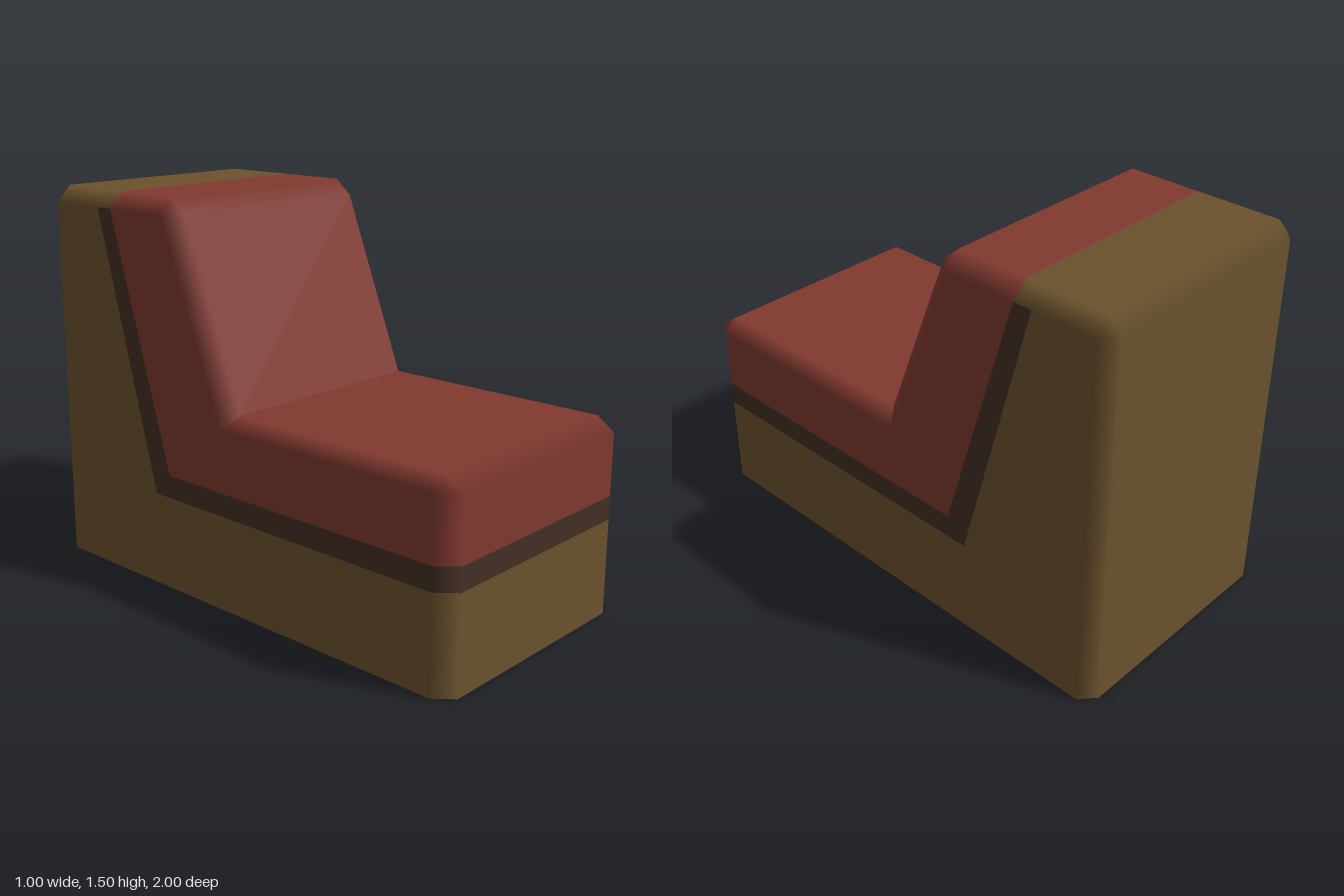
import * as THREE from 'three';

const material = (name, color) => {
  const m = new THREE.MeshStandardMaterial({ color });
  m.name = name;
  return m;
};

// Collects triangles with smooth normals, turned to face outward
class Surface {
  constructor() { this.pos = []; this.nor = []; }
  tri(p, n) {
    const [a, b, c] = p;
    const face = b.clone().sub(a).cross(c.clone().sub(a));
    if (face.length() < 1e-7) return;
    const sum = n[0].clone().add(n[1]).add(n[2]);
    for (const i of face.dot(sum) < 0 ? [0, 2, 1] : [0, 1, 2]) {
      this.pos.push(...p[i].toArray());
      this.nor.push(...n[i].toArray());
    }
  }
  polygon(points2, place, normal) {
    const outline = points2.map(([u, v]) => new THREE.Vector2(u, v));
    for (const t of THREE.ShapeUtils.triangulateShape(outline, []))
      this.tri(t.map((i) => place(...points2[i])), [normal, normal, normal]);
  }
  mesh(name, mat) {
    const g = new THREE.BufferGeometry();
    g.setAttribute('position', new THREE.Float32BufferAttribute(this.pos, 3));
    g.setAttribute('normal', new THREE.Float32BufferAttribute(this.nor, 3));
    const m = new THREE.Mesh(g, mat);
    m.name = name;
    return m;
  }
}

const V = (x, y, z) => new THREE.Vector3(x, y, z);
const INNER = 0.44, OUTER = 0.5; // half widths before and after the side bevel

export function createModel() {
  const cushion = new Surface(), trim = new Surface(), base = new Surface();
  const front = [1, 0], up = [0, 1], slope = [0.931, 0.364], back = [-1, 0];

  // Profile from front foot over the seat to back foot:
  // [z, y] of the centre, [z, y] of the side panel, [z, y] of the normal, part of the next strip
  const profile = [
    [[1, 0], [0.93, 0], front, base],
    [[1, 0.37], [0.93, 0.37], front, trim],
    [[1, 0.46], [0.93, 0.46], front, cushion],
    [[1, 0.7], [0.93, 0.7], front, cushion],
    [[0.93, 0.75], [0.93, 0.7], up, cushion],
    [[0, 0.75], [-0.045, 0.7], up, cushion],
    [[0, 0.75], [-0.045, 0.7], slope, cushion],
    [[-0.27, 1.44], [-0.335, 1.44], slope, cushion],
    [[-0.34, 1.5], [-0.335, 1.44], up, cushion],
    [[-0.625, 1.5], [-0.625, 1.44], up, base],
    [[-0.95, 1.5], [-0.95, 1.44], up, base],
    [[-1, 1.44], [-0.95, 1.44], back, base],
    [[-1, 0], [-0.95, 0], back, base],
  ];

  // Four columns across each profile point: side, bevel, bevel, side
  const columns = ([c, s, n]) => [-OUTER, -INNER, INNER, OUTER].map((x) => {
    const side = Math.abs(x) === OUTER;
    const [z, y] = side ? s : c;
    return { p: V(x, y, z), n: side ? V(Math.sign(x), 0, 0) : V(0, n[1], n[0]) };
  });
  for (let i = 0; i < profile.length - 1; i++) {
    const a = columns(profile[i]), b = columns(profile[i + 1]), part = profile[i][3];
    for (let k = 0; k < 3; k++)
      for (const t of [[a[k], a[k + 1], b[k + 1]], [a[k], b[k + 1], b[k]]])
        part.tri(t.map((v) => v.p), t.map((v) => v.n));
  }

  // Flat side panels of each part, mirrored left and right
  const panels = [
    [cushion, [[0.93, 0.46], [0.93, 0.7], [-0.045, 0.7], [-0.335, 1.44], [-0.625, 1.44], [-0.33, 0.46]]],
    [trim, [[0.93, 0.37], [0.93, 0.46], [-0.33, 0.46], [-0.625, 1.44], [-0.7, 1.44], [-0.41, 0.37]]],
    [base, [[0.93, 0], [0.93, 0.37], [-0.41, 0.37], [-0.7, 1.44], [-0.95, 1.44], [-0.95, 0]]],
  ];
  for (const side of [-1, 1])
    for (const [part, outline] of panels)
      part.polygon(outline, (z, y) => V(side * OUTER, y, z), V(side, 0, 0));

  // Underside
  base.polygon(
    [[INNER, 1], [OUTER, 0.93], [OUTER, -0.95], [INNER, -1], [-INNER, -1], [-OUTER, -0.95], [-OUTER, 0.93], [-INNER, 1]],
    (x, z) => V(x, 0, z), V(0, -1, 0));

  const group = new THREE.Group();
  group.name = 'seat';
  group.add(
    cushion.mesh('cushion', material('red upholstery', 0x80392f)),
    trim.mesh('trim', material('dark brown trim', 0x442f26)),
    base.mesh('base', material('olive brown base', 0x6b522d)),
  );
  return group;
}
